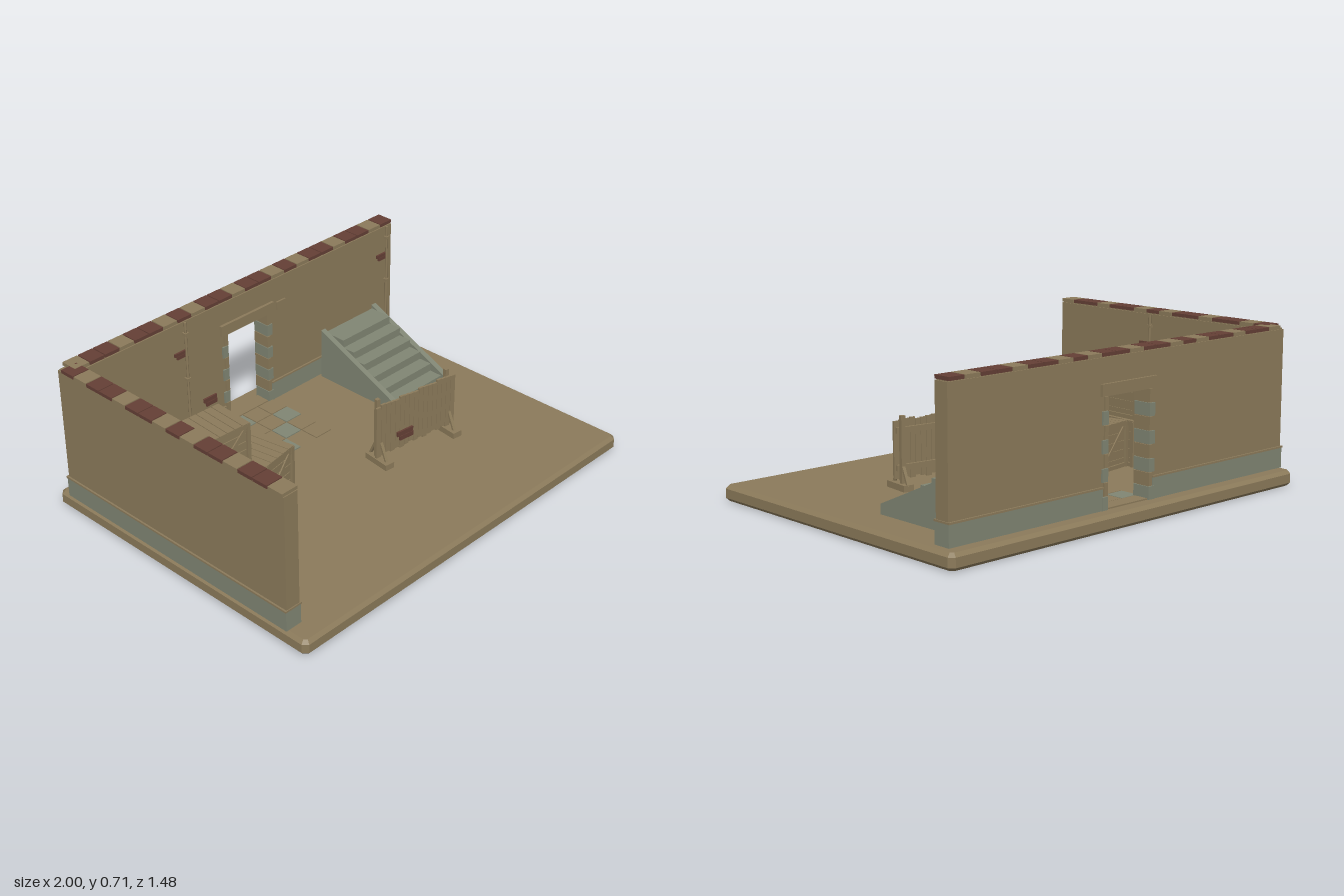
import * as THREE from 'three';

const mat = (name, color) => Object.assign(new THREE.MeshStandardMaterial({ color }), { name });

export function createModel() {
  const tan = mat('tan plaster and wood', 0x8b7a5a);
  const stone = mat('grey stone', 0x808573);
  const red = mat('red brick', 0x643f35);
  const root = new THREE.Group();

  const group = (name, parent = root) => {
    const g = new THREE.Group();
    g.name = name;
    parent.add(g);
    return g;
  };
  const add = (parent, name, geo, material, x, y, z) => {
    const m = new THREE.Mesh(geo, material);
    m.name = name;
    m.position.set(x, y, z);
    parent.add(m);
    return m;
  };
  // box given by its minimum and maximum corners
  const block = (parent, name, material, x0, x1, y0, y1, z0, z1) =>
    add(parent, name, new THREE.BoxGeometry(x1 - x0, y1 - y0, z1 - z0), material,
      (x0 + x1) / 2, (y0 + y1) / 2, (z0 + z1) / 2);

  // chamfered base slab
  const X = 0.983, Z = 0.727, c = 0.012;
  const outline = new THREE.Shape([
    [-X + c, -Z], [X - c, -Z], [X, -Z + c], [X, Z - c], [X - c, Z], [-X + c, Z], [-X, Z - c], [-X, -Z + c],
  ].map(([x, y]) => new THREE.Vector2(x, y)));
  const slab = new THREE.ExtrudeGeometry(outline, {
    depth: 0.04, bevelEnabled: true, bevelSegments: 1, bevelSize: 0.015, bevelThickness: 0.015,
  });
  slab.rotateX(-Math.PI / 2);
  add(root, 'base', slab, tan, 0, 0.015, 0);

  // walls, with the doorway left open
  const walls = group('walls');
  block(walls, 'backWallLeft', tan, -0.99, -0.13, 0.07, 0.69, -0.67, -0.6);
  block(walls, 'backWallRight', tan, 0.12, 0.95, 0.07, 0.69, -0.67, -0.6);
  block(walls, 'wallAboveDoor', tan, -0.13, 0.12, 0.535, 0.69, -0.67, -0.6);
  block(walls, 'sideWall', tan, -0.99, -0.92, 0.07, 0.69, -0.6, 0.635);

  // stone skirting with a thin ledge
  for (const [name, m, y0, y1, p] of [['skirting', stone, 0.07, 0.16, 0.005], ['skirtingLedge', tan, 0.16, 0.168, 0.008]]) {
    block(walls, name, m, -0.99 - p, -0.15, y0, y1, -0.67 - p, -0.6 + p);
    block(walls, name, m, 0.14, 0.95 + p / 2, y0, y1, -0.67 - p, -0.6 + p);
    block(walls, name, m, -0.99 - p, -0.92 + p, y0, y1, -0.6 + p, 0.635 + p / 2);
  }

  // coping tiles: R is red, T is tan
  const coping = group('coping');
  [...'TRRTRRTRTRRTRRTRTRRTRRTR'].forEach((k, i) => {
    const x = -0.957 + i * 0.0797;
    block(coping, 'copingTile', k === 'R' ? red : tan, x, x + 0.075, 0.695, 0.71, -0.68, -0.6);
  });
  [...'TRRTRRTRTRRTRRTR'].forEach((k, i) => {
    const z = 0.636 - i * 0.0797;
    block(coping, 'copingTile', k === 'R' ? red : tan, -1, -0.92, 0.695, 0.71, z - 0.075, z);
  });
  block(coping, 'copingBed', tan, -0.985, 0.945, 0.69, 0.696, -0.665, -0.605);
  block(coping, 'copingBed', tan, -0.985, -0.925, 0.69, 0.696, -0.605, 0.63);

  // door surround: alternating quoins, lintel, threshold and plate
  const door = group('doorSurround');
  const h = 0.465 / 8;
  for (let i = 0; i < 8; i++) {
    const m = i % 2 ? tan : stone, w = i % 2 ? 0.02 : 0.032, y = 0.07 + i * h;
    block(door, 'quoin', m, -0.125 - w, -0.125, y, y + h - 0.003, -0.678, -0.592);
    block(door, 'quoin', m, 0.115, 0.115 + w, y, y + h - 0.003, -0.678, -0.592);
  }
  block(door, 'lintel', tan, -0.165, 0.155, 0.535, 0.585, -0.682, -0.586);
  block(door, 'threshold', tan, -0.125, 0.115, 0.07, 0.076, -0.67, -0.6);
  block(door, 'wallPlate', tan, 0.18, 0.235, 0.53, 0.57, -0.6, -0.592);

  // paving in front of the door
  const paving = group('paving');
  ['STT', 'TTS', 'TST', 'S T'].forEach((row, r) => [...row].forEach((k, i) => {
    if (k === ' ') return;
    const x = -0.147 + i * 0.097, z = -0.595 + r * 0.095;
    block(paving, 'pavingSlab', k === 'S' ? stone : tan, x, x + 0.092, 0.07, 0.075, z, z + 0.09);
  }));

  // wall fittings are placed in a frame whose z points out of the wall
  const backFace = group('backWallFittings');
  backFace.position.z = -0.6;
  const sideFace = group('sideWallFittings');
  sideFace.position.x = -0.92;
  sideFace.rotation.y = Math.PI / 2;

  const pipe = (face, x) => {
    add(face, 'pipe', new THREE.CylinderGeometry(0.006, 0.006, 0.62, 8), tan, x, 0.38, 0.01);
    for (const y of [0.18, 0.41, 0.635])
      add(face, 'pipeBracket', new THREE.BoxGeometry(0.022, 0.012, 0.02), tan, x, y, 0.01);
  };
  pipe(backFace, -0.908);
  pipe(backFace, -0.37);
  pipe(backFace, 0.91);
  pipe(sideFace, -0.045);

  // exposed bricks: two staggered courses
  const bricks = (face, x, y, w, t) => {
    add(face, 'exposedBrick', new THREE.BoxGeometry(w, t, 0.009), red, x - w * 0.05, y + t * 0.55, 0.0045);
    add(face, 'exposedBrick', new THREE.BoxGeometry(w * 0.85, t, 0.009), red, x + w * 0.05, y - t * 0.55, 0.0045);
  };
  bricks(backFace, -0.805, 0.232, 0.12, 0.023);
  bricks(backFace, -0.24, 0.24, 0.075, 0.02);
  bricks(backFace, -0.395, 0.54, 0.07, 0.015);
  bricks(backFace, 0.885, 0.54, 0.07, 0.015);
  bricks(sideFace, -0.48, 0.235, 0.12, 0.023);
  bricks(sideFace, 0.15, 0.235, 0.08, 0.02);
  bricks(sideFace, -0.075, 0.543, 0.07, 0.016);
  bricks(sideFace, 0.565, 0.543, 0.07, 0.016);

  // stone steps between sloping side walls
  const stairs = group('stairs');
  for (let i = 0; i < 6; i++)
    block(stairs, 'step', stone, 0.475, 0.795, 0.07, 0.07 + 0.0385 * (i + 1), -0.575, -0.13 - 0.066 * i);
  const side = new THREE.Shape([[0.11, 0.07], [0.578, 0.07], [0.578, 0.32], [0.11, 0.113]]
    .map(([x, y]) => new THREE.Vector2(x, y)));
  const sideGeo = new THREE.ExtrudeGeometry(side, { depth: 0.027, bevelEnabled: false });
  sideGeo.rotateY(Math.PI / 2);
  for (const x of [0.449, 0.795]) add(stairs, 'stairSide', sideGeo, stone, x, 0, 0);

  // slatted crates with framed faces and diagonal braces
  const crate = (x, y, z, turn) => {
    const g = group('crate');
    g.position.set(x, y, z);
    g.rotation.y = turn;
    const s = 0.1, b = 0.018;
    add(g, 'crateCore', new THREE.BoxGeometry(0.176, 0.18, 0.176), tan, 0, s, 0);
    for (let f = 0; f < 4; f++) {
      const face = group('crateSide', g);
      face.rotation.y = f * Math.PI / 2;
      for (let i = 0; i < 5; i++)
        add(face, 'crateSlat', new THREE.BoxGeometry(0.18, 0.036, 0.006), tan, 0, 0.022 + i * 0.0395, 0.089);
      add(face, 'cornerPost', new THREE.BoxGeometry(b, 0.205, b), tan, 0.093, 0.1025, 0.093);
      for (const ry of [0.01, 0.195])
        add(face, 'crateRail', new THREE.BoxGeometry(0.17, b, 0.012), tan, 0, ry, 0.094);
      if (f % 2 === 0)
        add(face, 'crateBrace', new THREE.BoxGeometry(0.225, b, 0.008), tan, 0, 0.1025, 0.094).rotation.z = Math.PI / 4;
    }
    for (let i = 0; i < 5; i++)
      add(g, 'lidSlat', new THREE.BoxGeometry(0.037, 0.008, 0.2), tan, (i - 2) * 0.0405, 0.205, 0);
  };
  crate(-0.617, 0.07, -0.14, -0.09);
  crate(-0.612, 0.285, -0.15, -0.05);
  crate(-0.4, 0.07, -0.11, 0.17);

  // free-standing plank barrier
  const barrier = group('barrier');
  barrier.position.set(0.297, 0.07, 0.142);
  barrier.rotation.y = -0.12;
  for (let i = 0; i < 17; i++) {
    const low = 0.038 + (i * 7 % 5) * 0.003, high = 0.292 + (i * 3 % 4) * 0.003;
    block(barrier, 'plank', tan, -0.229 + i * 0.027, -0.204 + i * 0.027, low, high, 0.0, 0.01);
  }
  for (const y of [0.08, 0.24]) block(barrier, 'barrierRail', tan, -0.22, 0.22, y, y + 0.025, -0.012, 0);
  for (const x of [-0.2, 0.2]) {
    block(barrier, 'foot', tan, x - 0.024, x + 0.024, 0, 0.028, -0.068, 0.068);
    block(barrier, 'post', tan, x - 0.01, x + 0.01, 0.028, 0.318, -0.03, -0.012);
    for (const s of [-1, 1]) {
      const brace = add(barrier, 'footBrace', new THREE.BoxGeometry(0.014, 0.1, 0.01), tan, x, 0.065, s * 0.034 - 0.008);
      brace.rotation.x = -s * 0.45;
    }
  }
  const patch = group('barrierBrickPatch', barrier);
  patch.position.z = 0.01;
  bricks(patch, -0.065, 0.105, 0.09, 0.022);

  return root;
}
